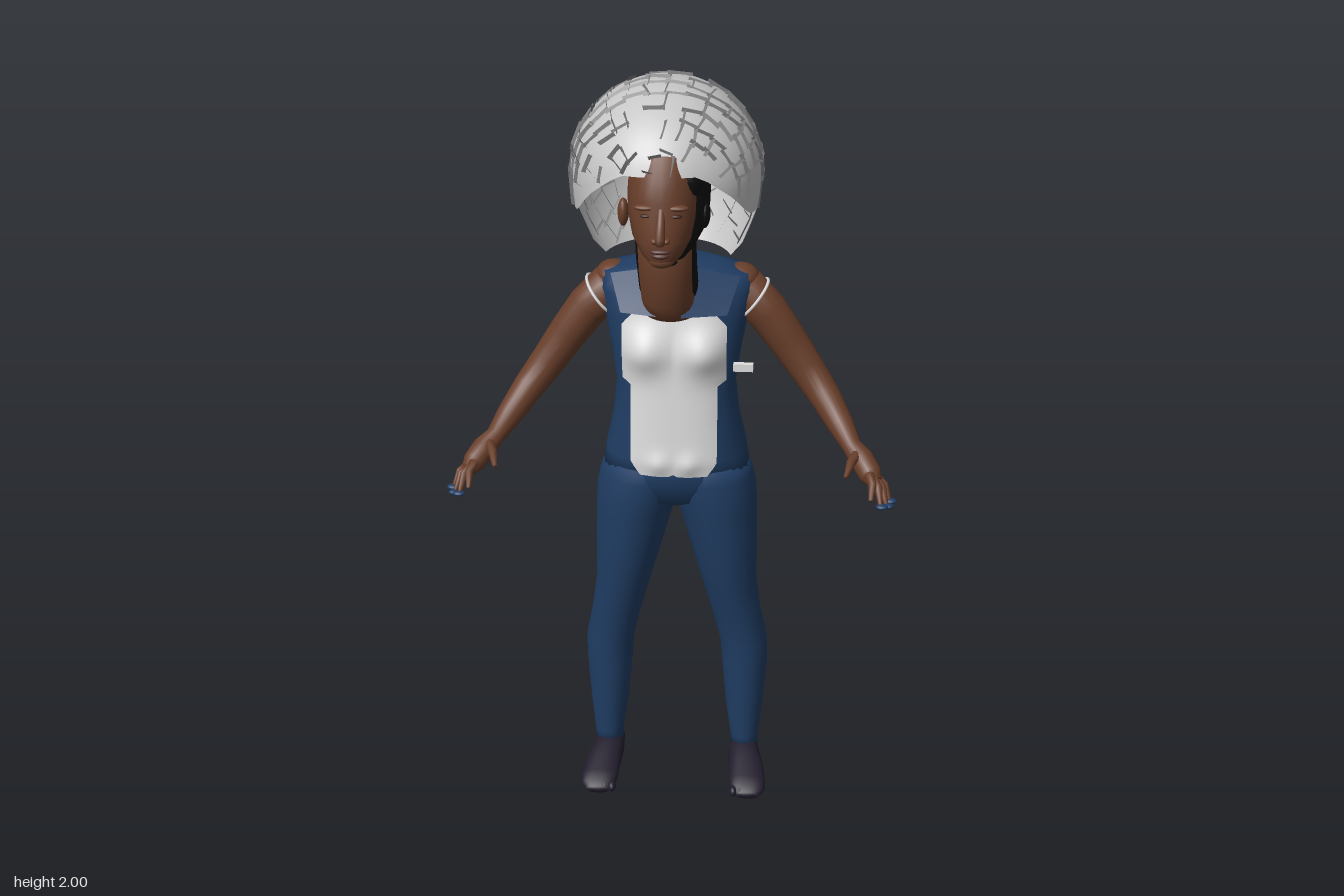
import * as THREE from 'three';

const V = (x, y, z) => new THREE.Vector3(x, y, z);
const X = V(1, 0, 0), Y = V(0, 1, 0), Z = V(0, 0, 1);
const material = (name, color, side = THREE.FrontSide) => {
  const m = new THREE.MeshStandardMaterial({ color, side });
  m.name = name;
  return m;
};

function toGeometry(pts, idx) {
  const g = new THREE.BufferGeometry().setFromPoints(pts);
  g.setIndex(idx);
  g.computeVertexNormals();
  return g;
}

// One superellipse cross-section around c
function ring(c, n1, n2, r1, r2, pow = 2, N = 28) {
  const soft = (v) => Math.sign(v) * Math.pow(Math.abs(v), 2 / pow);
  return Array.from({ length: N }, (_, i) => {
    const a = (i / N) * Math.PI * 2;
    return c.clone().addScaledVector(n1, r1 * soft(Math.cos(a))).addScaledVector(n2, r2 * soft(Math.sin(a)));
  });
}

// Closed skin over a list of cross-sections
function loft(rings) {
  const n = rings[0].length, m = rings.length, pts = rings.flat(), idx = [];
  for (let i = 0; i < m - 1; i++) for (let j = 0; j < n; j++) {
    const a = i * n + j, b = i * n + ((j + 1) % n);
    idx.push(a, b, b + n, a, b + n, a + n);
  }
  for (const k of [0, m - 1]) {
    const mid = V(0, 0, 0);
    rings[k].forEach((p) => mid.addScaledVector(p, 1 / n));
    pts.push(mid);
    for (let j = 0; j < n; j++) {
      const a = k * n + j, b = k * n + ((j + 1) % n);
      idx.push(pts.length - 1, ...(k ? [a, b] : [b, a]));
    }
  }
  return toGeometry(pts, idx);
}

// Open sheet given by a rule f(u, v)
function grid(nu, nv, f) {
  const pts = [], idx = [];
  for (let j = 0; j <= nv; j++) for (let i = 0; i <= nu; i++) pts.push(f(i / nu, j / nv));
  for (let j = 0; j < nv; j++) for (let i = 0; i < nu; i++) {
    const a = j * (nu + 1) + i, b = a + nu + 1;
    idx.push(a, a + 1, b + 1, a, b + 1, b);
  }
  return toGeometry(pts, idx);
}

// Horizontal rows, bottom to top: [y, centre x, half width, front z, back z]
const stack = (rows, s = 1, pow = 2) => loft(rows.map(([y, cx, rx, zf, zb]) =>
  ring(V(cx * s, y, (zf + zb) / 2), Z, X, (zf - zb) / 2, rx, pow)));

// Tube of changing radius: [x, y, z, r]
function limb(path, s = 1, N = 20) {
  const p = path.map(([x, y, z]) => V(x * s, y, z));
  return loft(p.map((c, i) => {
    const d = p[Math.min(i + 1, p.length - 1)].clone().sub(p[Math.max(i - 1, 0)]).normalize();
    const n1 = Z.clone().addScaledVector(d, -d.z).normalize();
    return ring(c, n1, d.clone().cross(n1), path[i][3], path[i][3], 2, N);
  }));
}

// Depth of a stacked body at (x, y); dir +1 front, -1 back
function depth(rows, x, y, dir, pow) {
  let i = 0;
  while (i < rows.length - 2 && rows[i + 1][0] < y) i++;
  const t = THREE.MathUtils.clamp((y - rows[i][0]) / (rows[i + 1][0] - rows[i][0]), 0, 1);
  const [cx, rx, zf, zb] = [1, 2, 3, 4].map((k) => THREE.MathUtils.lerp(rows[i][k], rows[i + 1][k], t));
  const q = Math.min(1, Math.abs((x - cx) / rx));
  return (zf + zb) / 2 + dir * ((zf - zb) / 2) * Math.pow(1 - Math.pow(q, pow), 1 / pow);
}

const TORSO = [[.935, 0, .195, .118, -.145], [1, 0, .186, .125, -.145], [1.1, 0, .165, .12, -.12], [1.2, 0, .155, .115, -.105],
  [1.3, 0, .17, .11, -.115], [1.38, 0, .185, .1, -.125], [1.45, 0, .2, .09, -.13], [1.49, 0, .188, .07, -.12], [1.515, 0, .1, .05, -.09]];
const HIPS = [[.84, 0, .05, .05, -.08], [.87, 0, .13, .1, -.11], [.92, 0, .19, .122, -.13], [.96, 0, .16, .131, -.13], [.99, 0, .12, .127, -.12]];
const LEG = [[.06, .19, .038, .035, -.058], [.1, .19, .04, .035, -.06], [.2, .188, .052, .042, -.08], [.33, .187, .063, .048, -.1],
  [.4, .184, .065, .05, -.092], [.5, .163, .067, .06, -.07], [.6, .143, .074, .085, -.09], [.7, .129, .088, .1, -.107],
  [.78, .117, .099, .108, -.13], [.83, .109, .106, .114, -.146], [.88, .099, .113, .118, -.15], [.93, .087, .115, .118, -.138], [.97, .078, .108, .112, -.125]];
const HEAD = [[1.605, -.02, .03, .262, .16], [1.63, -.02, .053, .277, .12], [1.67, -.02, .077, .28, .06], [1.72, -.02, .088, .272, .03],
  [1.77, -.02, .09, .262, .02], [1.82, -.02, .086, .25, .02], [1.87, -.02, .07, .22, .04], [1.9, -.02, .03, .16, .08]];
const NECK = [[1.41, -.01, .07, .14, -.03], [1.46, -.014, .068, .178, .01], [1.54, -.018, .069, .184, .055], [1.66, -.02, .07, .2, .08]];
const ARM = [[.14, 1.43, -.03, .05], [.18, 1.425, -.028, .062], [.23, 1.38, -.022, .055], [.28, 1.31, -.018, .051], [.335, 1.228, -.013, .046],
  [.385, 1.165, .022, .041], [.43, 1.11, .083, .034], [.46, 1.075, .135, .025], [.485, 1.055, .165, .031], [.508, 1.03, .2, .03], [.52, 1.018, .22, .02]];
const FOOT = [[-.06, .185, .02, .04], [-.045, .187, .036, .075], [.02, .19, .043, .085], [.08, .2, .048, .066], [.14, .205, .05, .046], [.17, .207, .045, .034], [.185, .207, .03, .02]];

// Hairdo: a dome whose lower edge dips from brow to nape
const EDGE = [[0, .3], [25, .28], [45, 0], [65, -.22], [92, -.28], [100, -.8], [180, -.84]];
function hairLow(a) {
  const deg = Math.abs(THREE.MathUtils.radToDeg(a));
  let i = 0;
  while (i < EDGE.length - 2 && EDGE[i + 1][0] < deg) i++;
  return THREE.MathUtils.mapLinear(deg, EDGE[i][0], EDGE[i + 1][0], EDGE[i][1], EDGE[i + 1][1]);
}
function hairPoint(a, t, k = 1) {
  const c = Math.cos(t) * k;
  return V(-.027 + .24 * c * Math.sin(a), 1.76 + (t > 0 ? .231 : .35) * Math.sin(t) * k, -.025 + .274 * c * Math.cos(a));
}

// Tilted slats in a lattice running front to back and side to side
function slats() {
  let seed = 7;
  const rnd = () => (seed = (seed * 16807) % 2147483647) / 2147483647;
  const pts = [], idx = [], rows = 16, lines = 28;
  // p is the angle from the front, q the roll about the z axis
  const at = (p, q, k) => {
    const a = Math.atan2(Math.sin(p) * Math.sin(q), Math.cos(p)), t = Math.asin(Math.sin(p) * Math.cos(q));
    return t < hairLow(a) ? null : hairPoint(a, t, k);
  };
  const slat = (p0, q0, p1, q1, wp, wq) => {
    const k = 1.02 + rnd() * .018;
    const q = [at(p0, q0, .982), at(p1, q1, .982), at(p1 + wp, q1 + wq, k), at(p0 + wp, q0 + wq, k)];
    if (q.includes(null)) return;
    const n = pts.length;
    pts.push(...q);
    idx.push(n, n + 1, n + 2, n, n + 2, n + 3);
  };
  for (let i = 0; i < rows; i++) for (let j = 0; j < lines; j++) {
    const dp = 2.9 / rows, dq = Math.PI * 2 / lines, p = .15 + i * dp, q = j * dq - Math.PI, sp = Math.sin(p);
    const w = .045 / Math.max(.4, sp), jit = () => (rnd() - .5) * .09;
    if (rnd() < .85 * sp * sp) slat(p, q + jit(), p + dp * 1.15, q + jit(), 0, w);
    if (rnd() < .25 + .5 * sp) slat(p + jit(), q, p + jit(), q + dq * 1.15, .045, 0);
  }
  return toGeometry(pts, idx);
}

export function createModel() {
  const D = THREE.DoubleSide;
  const skin = material('skin', 0x683e2a, D), blue = material('denimBlue', 0x203d63, D), white = material('shirtWhite', 0xdedede, D);
  const hairGrey = material('hairGrey', 0xc6c6c6, D), slatGrey = material('slatGrey', 0x787878, D), black = material('black', 0x0d0d0d);
  const shoe = material('shoeDark', 0x231e2d), lip = material('lipBrown', 0x54302a), eye = material('eyeDark', 0x3a2219);
  const model = new THREE.Group();
  const add = (name, geo, mat) => {
    const m = new THREE.Mesh(geo, mat);
    m.name = name;
    model.add(m);
    return m;
  };
  const blob = (name, mat, x, y, z, rx, ry, rz) => {
    const m = add(name, new THREE.SphereGeometry(1, 16, 10), mat);
    m.position.set(x, y, z);
    m.scale.set(rx, ry, rz);
  };

  // Clothes
  add('vest', stack(TORSO, 1, 2.4), blue);
  add('hips', stack(HIPS), blue);
  add('shirt', grid(28, 36, (u, v) => {
    const y = .965 + v * .45;
    const top = y > 1.38 ? (y - 1.38) * .9 : 0, low = y < 1 ? (1 - y) * .7 : 0;
    const x = (u * 2 - 1) * ((y > 1.22 ? .134 : .112) - top - low);
    const bust = .032 * Math.exp(-((Math.abs(x) - .078) ** 2 + (y - 1.315) ** 2) / .0034);
    const fold = .01 * Math.exp(-((Math.abs(x) - .04) ** 2 + (y - 1) ** 2) / .0008);
    return V(x, y, depth(TORSO, x, y, 1, 2.4) + .007 + bust + fold);
  }), white);
  add('looseTag', new THREE.BoxGeometry(.05, .02, .015), white).position.set(.18, 1.31, .18);

  // Head and neck
  add('neck', stack(NECK), skin);
  add('napeHair', stack(NECK.map(([y, cx, rx, zf, zb]) => [y + .03, cx, rx + .007, zf - .009, zb - .012])), black);
  blob('underChinHair', black, -.015, 1.592, .185, .03, .012, .02);
  add('head', stack(HEAD, 1, 2.2), skin);
  add('scalp', stack(HEAD.map(([y, cx, rx, zf, zb]) => [y + .004, cx + .012, rx + .011, zf - .04, zb - .012]), 1, 2.2), black);
  blob('sideParting', black, .042, 1.81, .184, .04, .052, .038);
  add('nose', limb([[-.02, 1.677, .288, .011], [-.02, 1.69, .292, .013], [-.02, 1.72, .274, .011], [-.02, 1.755, .256, .009]]), skin);
  blob('upperLip', lip, -.02, 1.655, .279, .026, .007, .012);
  blob('lowerLip', lip, -.02, 1.643, .277, .022, .008, .012);
  blob('chin', skin, -.02, 1.622, .256, .03, .018, .018);
  for (const s of [-1, 1]) {
    blob('nostril', skin, -.02 + s * .014, 1.682, .279, .01, .008, .012);
    blob('eye', eye, -.02 + s * .036, 1.738, .257, .015, .005, .008);
    blob('brow', skin, -.02 + s * .037, 1.757, .25, .03, .008, .014);
    blob('ear', s < 0 ? skin : black, -.02 + s * .1, 1.71, .16, .014, .036, .022);
  }

  // Hairdo
  add('hairDome', grid(48, 16, (u, v) => {
    const a = u * 2 * Math.PI - Math.PI;
    return hairPoint(a, THREE.MathUtils.lerp(hairLow(a), Math.PI / 2, v));
  }), hairGrey);
  add('hairSlats', slats(), slatGrey);

  for (const s of [-1, 1]) {
    // Arm, hand and nails
    add('arm', limb(ARM, s), skin);
    const tips = [[.51, 1, .29], [.535, .982, .275], [.55, .972, .25], [.558, .972, .222]];
    tips.forEach(([x, y, z], i) => {
      const base = [.505 + i * .005, 1.04 - i * .007, .225 - i * .012];
      const mid = [(x + base[0]) / 2 + .006, (y + base[1]) / 2 + .008, (z + base[2]) / 2];
      add('finger', limb([[...base, .013], [...mid, .011], [x, y, z, .006]], s, 10), skin);
      if (i) blob('nail', blue, s * (x + .004), y - .006, z, .016, .007, .012);
    });
    add('thumb', limb([[.475, 1.07, .165, .014], [.458, 1.065, .21, .012], [.446, 1.048, .258, .006]], s, 10), skin);

    // Bare shoulder and armhole trim
    blob('shoulderTop', skin, s * .163, 1.468, -.03, .048, .036, .05);
    const trim = add('armholeTrim', new THREE.TorusGeometry(.062, .004, 6, 28), white);
    trim.position.set(s * .195, 1.411, -.026);
    trim.quaternion.setFromUnitVectors(Z, V(s * .78, -.62, 0).normalize());

    // Collar flap
    const collar = [V(.05, 1.53, .075), V(.165, 1.5, .045), V(.02, 1.425, .15), V(.135, 1.42, .112)];
    collar.forEach((p) => { p.x *= s; });
    add('collar', grid(4, 4, (u, v) => collar[0].clone().lerp(collar[1], u).lerp(collar[2].clone().lerp(collar[3], u), v)), blue);

    // Leg, torn seat and foot
    add('leg', stack(LEG, s), blue);
    add('seatTear', grid(12, 12, (u, v) => {
      const x = .02 + u * .07, y = .868 + v * .1 + (u > .5 ? .012 : 0);
      const body = Math.min(depth(LEG, x, y, -1, 2), depth(HIPS, x, y, -1, 2), y > .925 ? depth(TORSO, x, y, -1, 2.4) : 0);
      return V(s * x, y, body - .006);
    }), skin);
    add('foot', loft(FOOT.map(([z, cx, rx, h]) => ring(V(s * cx, h / 2 + .002, z), X, Y, rx, h / 2, 2.3))), shoe);
    for (let i = 0; i < 5; i++) blob('toe', shoe, s * (.168 + i * .019), .017, .172 - i * .006, .011, .015, .018);
  }
  return model;
}
